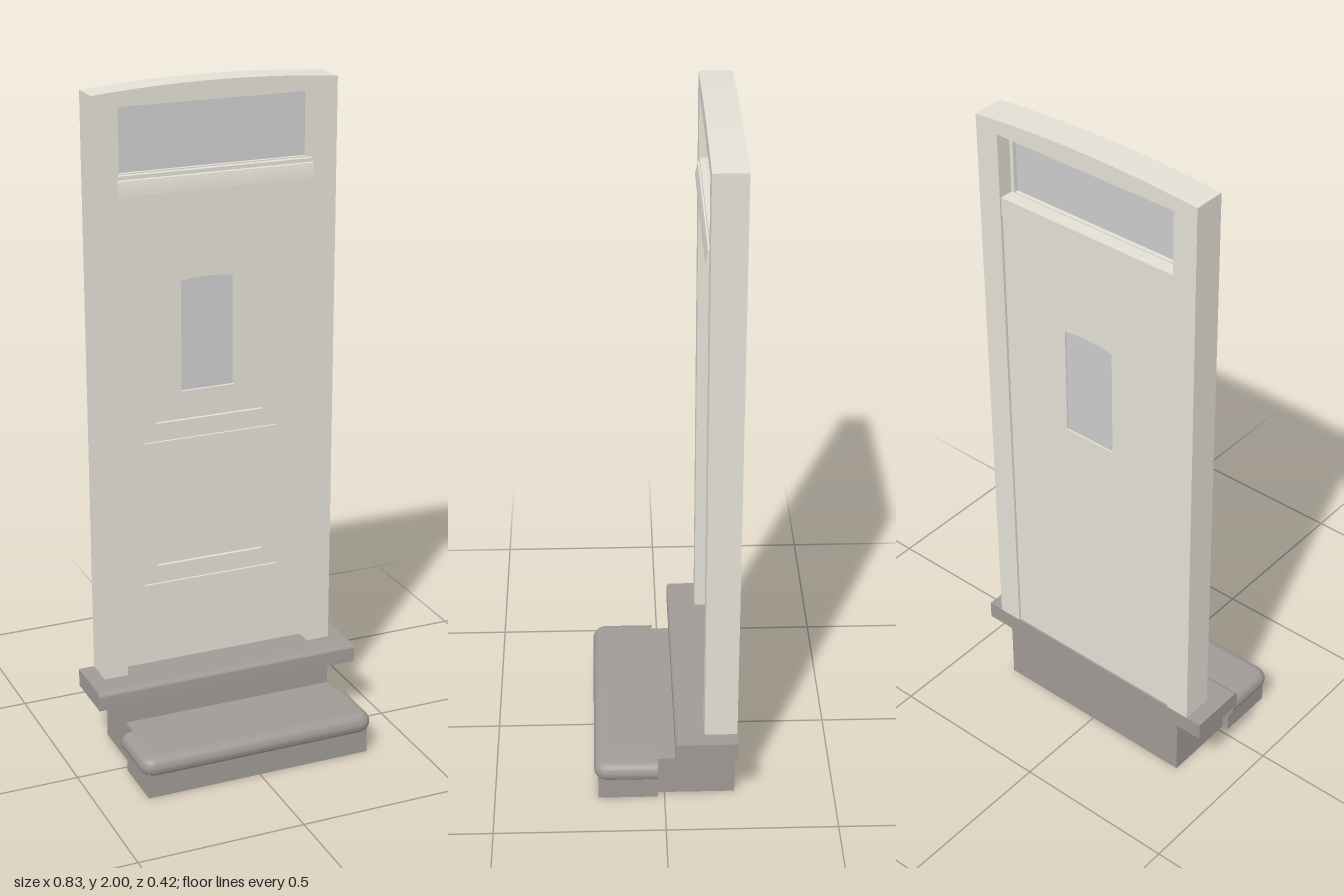
import * as THREE from 'three';
import { toCreasedNormals } from 'three/addons/utils/BufferGeometryUtils.js';

export function createModel() {
  const root = new THREE.Group();
  const paint = new THREE.MeshStandardMaterial({ color: 0xe2dfd5 });
  const stone = new THREE.MeshStandardMaterial({ color: 0x9f9a95 });
  const glass = new THREE.MeshStandardMaterial({ color: 0xcccccc });

  const add = (parent, name, geo, mat) => {
    const mesh = new THREE.Mesh(geo, mat);
    mesh.name = name;
    parent.add(mesh);
    return mesh;
  };
  const group = (name) => {
    const g = new THREE.Group();
    g.name = name;
    root.add(g);
    return g;
  };
  // Box given by its limits on each axis
  const box = (parent, name, mat, x0, x1, y0, y1, z0, z1) => {
    const geo = new THREE.BoxGeometry(x1 - x0, y1 - y0, z1 - z0);
    geo.translate((x0 + x1) / 2, (y0 + y1) / 2, (z0 + z1) / 2);
    return add(parent, name, geo, mat);
  };
  // Rectangle outline whose top may rise by an arch
  const panel = (x0, x1, y0, y1, rise = 0, Type = THREE.Path) => {
    const pts = [[x0, y0], [x1, y0]];
    const n = rise ? 20 : 1;
    for (let i = 0; i <= n; i++) {
      const t = i / n;
      pts.push([x1 + (x0 - x1) * t, y1 + rise * 4 * t * (1 - t)]);
    }
    return new Type(pts.map((p) => new THREE.Vector2(...p)));
  };
  const slab = (shape, z0, z1) => {
    const geo = new THREE.ExtrudeGeometry(shape, { depth: z1 - z0, bevelEnabled: false });
    return toCreasedNormals(geo.translate(0, 0, z0), 0.5);
  };
  // Profile of (z, y) points swept along x between two limits
  const sweepX = (pts, x0, x1) => {
    const shape = new THREE.Shape(pts.map((p) => new THREE.Vector2(...p)));
    const geo = new THREE.ExtrudeGeometry(shape, { depth: x1 - x0, bevelEnabled: false });
    return toCreasedNormals(geo.rotateY(-Math.PI / 2).translate(x1, 0, 0), 0.6);
  };

  // Steps: back block, lower step and its bullnosed tread
  const steps = group('steps');
  box(steps, 'backBlock', stone, -0.33, 0.33, 0, 0.125, -0.207, 0.02);
  box(steps, 'riser', stone, -0.33, 0.33, 0.125, 0.185, -0.207, -0.04);
  box(steps, 'lowerStep', stone, -0.35, 0.35, 0, 0.08, 0.02, 0.195);

  const r = 0.03, hx = 0.337, front = 0.177, c = 0.014;
  const treadShape = new THREE.Shape();
  treadShape.moveTo(-hx, -0.03);
  treadShape.lineTo(hx, -0.03);
  treadShape.lineTo(hx, front - c);
  treadShape.quadraticCurveTo(hx, front, hx - c, front);
  treadShape.lineTo(-hx + c, front);
  treadShape.quadraticCurveTo(-hx, front, -hx, front - c);
  treadShape.closePath();
  const tread = new THREE.ExtrudeGeometry(treadShape, {
    depth: 0.002, bevelThickness: r, bevelSize: r, bevelSegments: 8, curveSegments: 8,
  });
  tread.rotateX(Math.PI / 2).translate(0, 0.126 - r, 0);
  // Cut the back of the tread flat against the block
  const pos = tread.attributes.position;
  for (let i = 0; i < pos.count; i++) pos.setZ(i, Math.max(0.02, pos.getZ(i)));
  add(steps, 'tread', toCreasedNormals(tread, 0.6), stone);

  // Sill with a rounded front edge
  const sill = [[-0.21, 0.185], [-0.03, 0.185]];
  for (let i = 0; i <= 6; i++) {
    const a = (i / 6) * Math.PI / 2;
    sill.push([-0.042 + 0.012 * Math.cos(a), 0.228 + 0.012 * Math.sin(a)]);
  }
  sill.push([-0.21, 0.24]);
  add(steps, 'sill', sweepX(sill, -0.415, 0.415), stone);

  // Frame: posts, arched head, transom bar and drip moulding
  const frame = group('frame');
  for (const s of [-1, 1]) {
    const a = s * 0.367, b = s * 0.294;
    box(frame, s > 0 ? 'leftPost' : 'rightPost', paint,
      Math.min(a, b), Math.max(a, b), 0.24, 1.95, -0.21, -0.115);
  }
  add(frame, 'head', slab(panel(-0.367, 0.367, 1.947, 1.983, 0.017, THREE.Shape), -0.21, -0.115), paint);
  box(frame, 'transomBar', paint, -0.294, 0.294, 1.7, 1.755, -0.205, -0.117);
  add(frame, 'dripMoulding', sweepX(
    [[-0.12, 1.7], [-0.105, 1.7], [-0.105, 1.708], [-0.112, 1.742], [-0.12, 1.745]],
    -0.297, 0.295), paint);

  // Fanlight pane in a narrow sash
  const fanlight = group('fanlight');
  const sash = panel(-0.294, 0.294, 1.755, 1.947, 0, THREE.Shape);
  sash.holes.push(panel(-0.284, 0.282, 1.758, 1.944));
  add(fanlight, 'fanlightSash', slab(sash, -0.165, -0.135), paint);
  box(fanlight, 'fanlightGlass', glass, -0.286, 0.284, 1.756, 1.946, -0.153, -0.147);

  // Door leaf: three layers that step back into the panels
  const door = group('door');
  const windowHole = () => panel(-0.085, 0.08, 1.085, 1.418, 0.006);
  const layers = [
    ['doorFace', -0.174, -0.167,
      [panel(-0.215, 0.213, 0.945, 1.585), panel(-0.215, 0.213, 0.495, 0.795)]],
    ['panelField', -0.185, -0.174,
      [panel(-0.17, 0.168, 1.0, 1.47, 0.02), panel(-0.17, 0.168, 0.55, 0.73)]],
    ['doorBack', -0.204, -0.185, [windowHole()]],
  ];
  for (const [name, z0, z1, holes] of layers) {
    const leaf = panel(-0.292, 0.292, 0.24, 1.7, 0, THREE.Shape);
    leaf.holes.push(...holes);
    add(door, name, slab(leaf, z0, z1), paint);
  }
  box(door, 'doorGlass', glass, -0.087, 0.082, 1.083, 1.426, -0.199, -0.194);

  return root;
}
